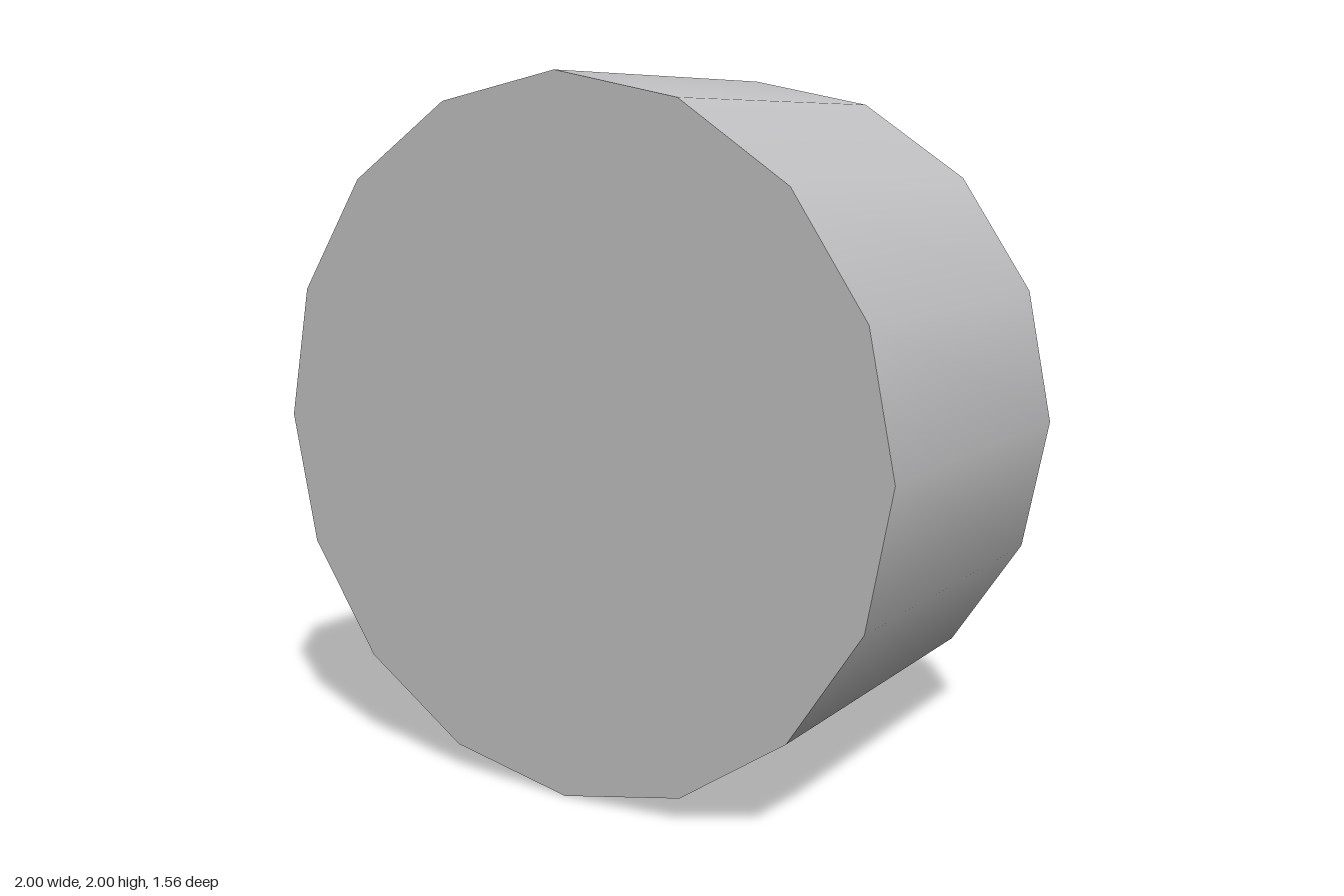
import * as THREE from 'three';

export function createModel() {
  const group = new THREE.Group();
  const grey = new THREE.MeshStandardMaterial({ color: 0xc0c0c2 });
  grey.name = 'light grey';

  // Smooth 16-sided cylinder lying along z, between two depths
  function addDrum(name, radius, back, front) {
    const geometry = new THREE.CylinderGeometry(radius, radius, front - back, 16);
    geometry.rotateX(Math.PI / 2);
    const mesh = new THREE.Mesh(geometry, grey);
    mesh.name = name;
    mesh.position.set(0, 1, (front + back) / 2);
    group.add(mesh);
  }

  addDrum('knobBody', 1, -0.28, 0.78);
  addDrum('rearShaft', 0.375, -0.78, -0.28);
  return group;
}
